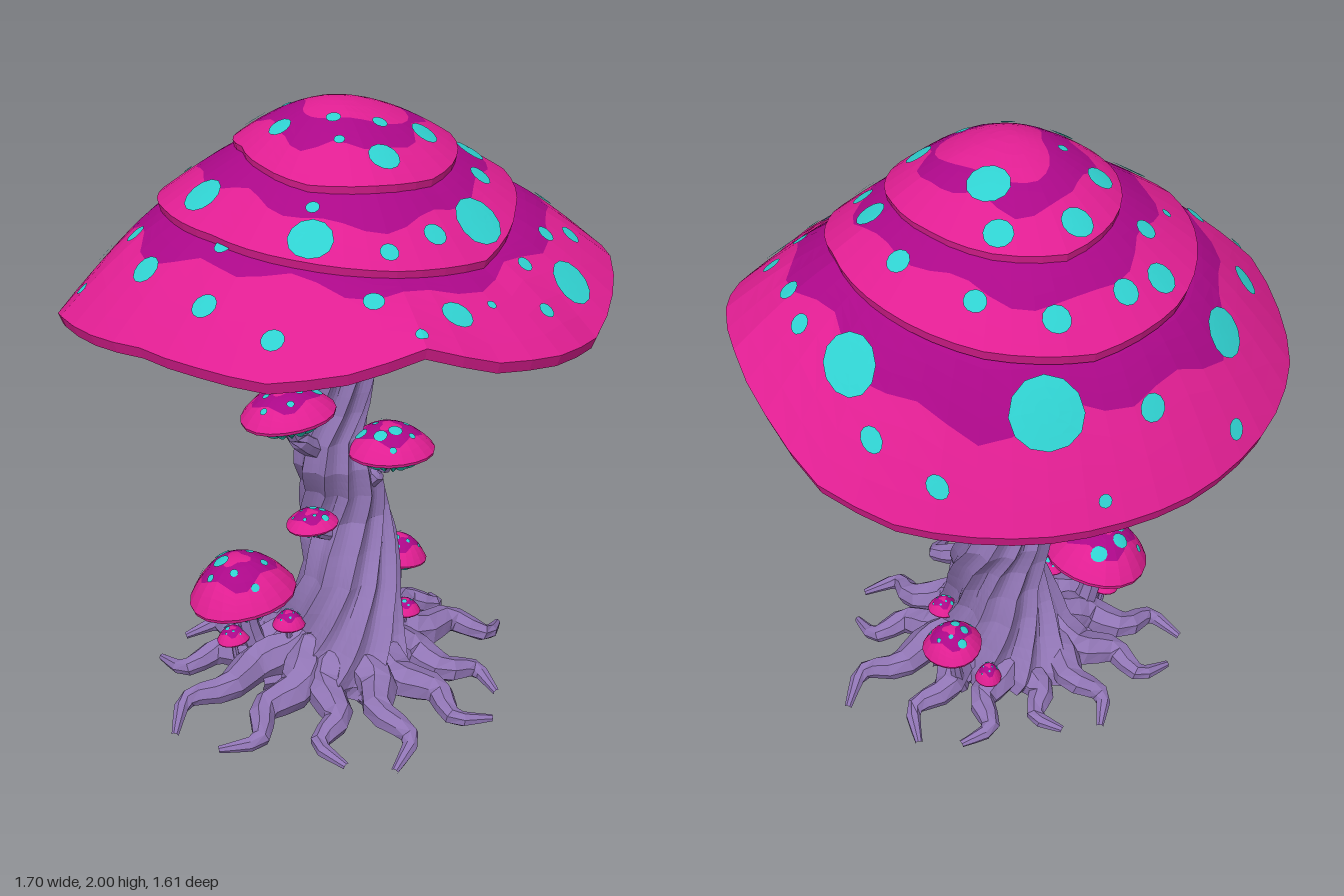
import * as THREE from 'three';

const TAU = Math.PI * 2;
const mat = (name, color) => new THREE.MeshStandardMaterial({ name, color, flatShading: true });
const pink = mat('pink', 0xe01e92);
const purple = mat('purple', 0xab0888);
const teal = mat('spot teal', 0x2fd0cf);
const gillTeal = mat('gill teal', 0x26cdb9);
const bark = mat('bark violet', 0x9075b4);

const V = (x, y, z) => new THREE.Vector3(x, y, z);
const { lerp, clamp } = THREE.MathUtils;
const polar = (r, y, a) => V(r * Math.cos(a), y, r * Math.sin(a));
const val = (f, a) => (typeof f === 'function' ? f(a) : f);

// Closed table of values around a circle, starting at +x and turning towards +z
const around = (list) => (a) => {
  const n = list.length, u = (((a / TAU) % 1) + 1) % 1 * n, i = Math.floor(u) % n;
  return lerp(list[i], list[(i + 1) % n], u - Math.floor(u));
};

// Ring-shaped surface: fn(s, angle, column) for s from 0 to 1
function loft(name, material, rows, cols, fn) {
  const pos = [], idx = [];
  for (let i = 0; i <= rows; i++)
    for (let j = 0; j < cols; j++) pos.push(...fn(i / rows, (j / cols) * TAU, j).toArray());
  for (let i = 0; i < rows; i++)
    for (let j = 0; j < cols; j++) {
      const k = (j + 1) % cols, a = i * cols + j, b = i * cols + k, c = a + cols, d = b + cols;
      idx.push(a, b, c, b, d, c);
    }
  const g = new THREE.BufferGeometry();
  g.setAttribute('position', new THREE.Float32BufferAttribute(pos, 3));
  g.setIndex(idx);
  g.computeVertexNormals();
  const m = new THREE.Mesh(g, material);
  m.name = name;
  return m;
}

// Tube along a smooth path, with its radius given along the length
function taper(name, points, radius, sides, rows) {
  const curve = new THREE.CatmullRomCurve3(points);
  return loft(name, bark, rows, sides, (s, a) => {
    const p = curve.getPoint(s), t = curve.getTangent(s);
    const ref = Math.abs(t.y) > 0.8 ? V(1, 0, 0) : V(0, 1, 0);
    const n = ref.cross(t).normalize(), b = t.clone().cross(n);
    const r = radius(s);
    return p.addScaledVector(n, r * Math.cos(a)).addScaledVector(b, r * Math.sin(a));
  });
}

// One cap tier: banded skin, folded lip and draped spots
function capTier(name, o) {
  const g = new THREE.Group();
  g.name = name;
  const top = (t, a) => {
    const y = lerp(val(o.yIn, a), val(o.yOut, a) + o.lip, Math.pow(t, o.pow));
    return polar(lerp(val(o.rIn, a), val(o.rOut, a), t), y, a);
  };
  const drape = (x, z) => {
    const q = Math.atan2(z, x), rin = val(o.rIn, q);
    return top(clamp((Math.hypot(x, z) - rin) / (val(o.rOut, q) - rin), 0, 1), q);
  };
  for (const [t0, t1, material] of o.bands)
    g.add(loft('capSkin', material, 4, o.cols, (s, a) => top(lerp(val(t0, a), val(t1, a), s), a)));
  g.add(loft('capLip', pink, 2, o.cols, (s, a) => {
    const i = Math.round(s * 2);
    return polar(val(o.rOut, a) * [1, 0.985, 0.92][i], val(o.yOut, a) + [o.lip, 0, o.tuck][i], a);
  }));
  for (let i = 0; i < o.spots.length; i += 3) {
    const [x, z, r] = o.spots.slice(i, i + 3);
    const d = Math.hypot(x, z), ux = x / d, uz = z / d, h = r * 0.5;
    const dy = drape(x - ux * h, z - uz * h).y - drape(x + ux * h, z + uz * h).y;
    const squash = r / Math.hypot(r, dy);
    g.add(loft('spot', teal, 3, 12, (s, a) => {
      const u = s * r * squash * Math.cos(a), w = s * r * Math.sin(a);
      const p = drape(x + ux * u - uz * w, z + uz * u + ux * w);
      p.y += o.lift / squash;
      return p;
    }));
  }
  return g;
}

// Pleated gills from the rim in to the stem
const gills = (count, rOut, yOut, rIn, yIn, depth, arch, twist) =>
  loft('gills', gillTeal, 8, count * 2, (s, a, j) => {
    const fold = (j % 2 ? 1 : -1) * depth * (0.2 + Math.sin(Math.PI * s));
    const y = lerp(val(yOut, a), yIn, s) + arch * Math.sin(Math.PI * s) + fold;
    return polar(lerp(val(rOut, a), rIn, s), y, a + twist * s);
  });

function smallMushroom([x, y, z, R, H, tilt, ...base]) {
  const g = new THREE.Group();
  g.name = 'smallMushroom';
  const cap = new THREE.Group();
  cap.name = 'smallCap';
  const spots = [];
  for (let i = 0; i < 9; i++) {
    const a = i * 2.4 + x * 9, d = R * (0.28 + 0.06 * i);
    spots.push(d * Math.cos(a), d * Math.sin(a), R * (i % 3 ? 0.08 : 0.16));
  }
  const lo = (a) => 0.22 + 0.06 * Math.sin(3 * a), hi = (a) => 0.64 + 0.09 * Math.sin(4 * a + 1);
  const rim = (a) => R * (1 + 0.03 * Math.sin(3 * a));
  cap.add(
    capTier('capTop', {
      rIn: 0, yIn: H, rOut: rim, yOut: 0, lip: R * 0.07, tuck: R * 0.05, pow: 2.3, cols: 20, lift: 0.004,
      bands: [[0, lo, pink], [lo, hi, purple], [hi, 1, pink]], spots,
    }),
    gills(18, R * 0.94, R * 0.03, R * 0.15, -R * 0.36, R * 0.05, -R * 0.08, 0),
  );
  cap.position.set(x, y, z);
  cap.rotation.z = tilt;
  const b = V(...base), e = V(x, y - R * 0.15, z);
  const mid = V(lerp(b.x, x, 0.65), lerp(b.y, y, 0.4), lerp(b.z, z, 0.65));
  g.add(cap, taper('smallStem', [b, mid, e], (s) => R * lerp(0.25, 0.18, s), 7, 6));
  return g;
}

export function createModel() {
  const model = new THREE.Group();
  model.name = 'giantMushroom';

  // Rim radii and heights of the three cap tiers, in equal steps of angle
  const r1 = around([.85, .84, .84, .80, .82, .79, .85, .86, .83, .81, .81, .87]);
  const y1 = around([1.46, 1.465, 1.42, 1.365, 1.385, 1.415, 1.485, 1.43, 1.4, 1.41, 1.41, 1.39,
    1.375, 1.31, 1.26, 1.225, 1.2, 1.18, 1.17, 1.165, 1.165, 1.19, 1.26, 1.38]);
  const r2 = around([.54, .54, .57, .56, .54, .51, .53, .55, .58, .59, .58, .56]);
  const y2 = around([1.71, 1.67, 1.6, 1.62, 1.65, 1.67, 1.68, 1.66, 1.62, 1.59, 1.62, 1.67]);
  const r3 = around([.36, .36, .37, .37, .355, .31, .29, .32, .36, .4, .385, .365]);
  const y3 = around([1.84, 1.82, 1.8, 1.81, 1.81, 1.83, 1.85, 1.84, 1.82, 1.8, 1.81, 1.83]);
  const b1 = (a) => 0.35 + 0.07 * Math.sin(5 * a) + 0.07 * Math.sin(11 * a + 1) - 0.09 * Math.sin(a - 0.4);
  const b2 = (a) => 0.46 + 0.07 * Math.sin(4 * a + 1) + 0.07 * Math.sin(9 * a);
  const b3 = (a) => 0.44 + 0.06 * Math.sin(3 * a) + 0.1 * Math.cos(a);
  const b4 = (a) => 0.7 + 0.05 * Math.sin(5 * a + 2) + 0.03 * Math.sin(9 * a);

  model.add(
    capTier('lowerCap', {
      rIn: (a) => r2(a) * 0.94, yIn: (a) => y2(a) + 0.015, rOut: r1, yOut: y1,
      lip: 0.035, tuck: 0.032, pow: 1.25, cols: 48, lift: 0.006, bands: [[0, b1, purple], [b1, 1, pink]],
      spots: [.16, -.63, .105, -.46, -.49, .075, -.67, -.25, .05, -.61, -.03, .033, -.78, -.01, .022,
        -.62, .18, .045, -.51, .44, .038, -.37, .63, .033, -.09, .63, .03, .13, .68, .045, 0, .76, .018,
        .57, .46, .072, .42, .46, .025, .43, .6, .025, .25, .63, .014, .66, .25, .032, .67, .02, .032,
        .68, -.11, .03, .6, -.3, .085, .6, -.46, .034, .47, -.61, .033, -.14, -.67, .04, -.41, -.68, .03,
        .05, -.78, .02, -.42, .29, .026, .55, .31, .028],
    }),
    capTier('middleCap', {
      rIn: (a) => r3(a) * 0.94, yIn: (a) => y3(a) + 0.012, rOut: r2, yOut: y2,
      lip: 0.03, tuck: 0, pow: 1.15, cols: 48, lift: 0.005, bands: [[0, b2, purple], [b2, 1, pink]],
      spots: [.08, -.51, .041, -.14, -.48, .04, -.27, -.44, .048, .27, -.4, .033, -.29, -.3, .033,
        .41, -.19, .036, .41, .04, .047, -.43, .09, .062, .38, .2, .036, .3, .39, .08, -.21, .44, .065,
        .14, .47, .035, -.01, .52, .027, -.41, -.2, .016, -.34, .45, .027, -.18, .36, .02],
    }),
    capTier('topCap', {
      rIn: 0, yIn: 2.0, rOut: r3, yOut: y3, lip: 0.025, tuck: 0, pow: 1.8, cols: 36, lift: 0.005,
      bands: [[0, b3, pink], [b3, b4, purple], [b4, 1, pink]],
      spots: [-.06, -.33, .048, .16, -.3, .043, -.2, -.18, .042, .13, -.16, .063, -.19, .06, .036,
        .22, .15, .044, .05, .29, .047, .08, .16, .023, -.05, .13, .022, -.06, .22, .016, -.13, -.08, .016],
    }),
    gills(42, (a) => r1(a) * 0.945, (a) => y1(a) + 0.022, 0.14, 1.34, 0.026, 0.035, 0.18),
  );

  // Twisted trunk: height, centre x, radius x, centre z, radius z
  const rows = [
    [1.42, 0, .24, -.05, .23], [1.33, 0, .18, -.06, .17], [1.2, 0, .14, -.05, .15], [1, 0, .12, -.045, .115],
    [.9, -.02, .115, -.04, .115], [.8, 0, .13, -.03, .125], [.7, .04, .13, -.06, .135], [.6, .05, .145, -.07, .135],
    [.5, .05, .155, -.035, .14], [.4, .05, .155, -.01, .165], [.3, .035, .17, 0, .2], [.2, .03, .2, 0, .24],
    [.1, .02, .25, 0, .29], [.05, .01, .26, 0, .28], [.12, .01, 0, 0, 0],
  ];
  model.add(loft('trunk', bark, 42, 66, (s, a) => {
    const u = s * (rows.length - 1), i = Math.min(Math.floor(u), rows.length - 2);
    const [y, cx, rx, cz, rz] = rows[i].map((v, k) => lerp(v, rows[i + 1][k], u - i));
    const k = 1.08 - 0.17 * Math.abs(Math.sin(5.5 * a)) + 0.05 * Math.sin(3 * a + 9 * y);
    const q = a - 2.4 * y;
    return V(cx + rx * k * Math.cos(q), y, cz + rz * k * Math.sin(q));
  }));

  // Wandering roots that gather under the trunk
  const reach = around([.64, .6, .6, .62, .59, .62, .7, .6, .52, .48, .5, .56]);
  const swell = (s) => (s < 0.3 ? lerp(0.03, 0.075, s / 0.3) : lerp(0.075, 0.012, (s - 0.3) / 0.7));
  const count = 13;
  for (let i = 0; i < count; i++) {
    const a = (i / count) * TAU, side = i % 2 ? 1 : -1;
    const R = reach(a) * (i % 3 === 1 ? 0.94 : 1), up = i % 3 === 0 ? 0.035 : 0;
    const path = [[.07, .27, .1], [.16, .16, .06], [.28, .09 + up / 2, -.07], [.4, .062 + up, .08],
      [.51, .036 + up / 2, -.05], [.6, .014, .12]];
    model.add(taper('root', path.map(([d, y, w]) => polar((d / 0.6) * R, y, a + w * side)), swell, 7, 14));
    model.add(taper('underRoot', [polar(.03, .09, a), polar(.15, .06, a + .15 * side), polar(.3, .06, a)],
      (s) => lerp(0.05, 0.04, s), 6, 5));
  }

  // Small mushrooms: cap x, y, z, radius, height, tilt, then stem base
  [
    [-.32, .34, -.035, .18, .14, .14, -.24, .06, -.02],
    [.29, .285, -.2, .1, .085, -.1, .25, .05, -.17],
    [-.36, .175, -.02, .055, .045, .1, -.33, .03, .0],
    [-.19, .255, .07, .055, .05, 0, -.17, .1, .06],
    [.23, .22, .05, .052, .045, 0, .2, .1, .05],
    [.18, .13, -.24, .045, .06, 0, .16, .04, -.2],
    [-.19, 1.045, .1, .15, .085, .12, -.06, .86, .01],
    [.16, .855, .06, .145, .085, 0, .06, .7, .0],
    [-.11, .635, .085, .085, .045, .08, -.02, .55, .03],
  ].forEach((m) => model.add(smallMushroom(m)));

  return model;
}
